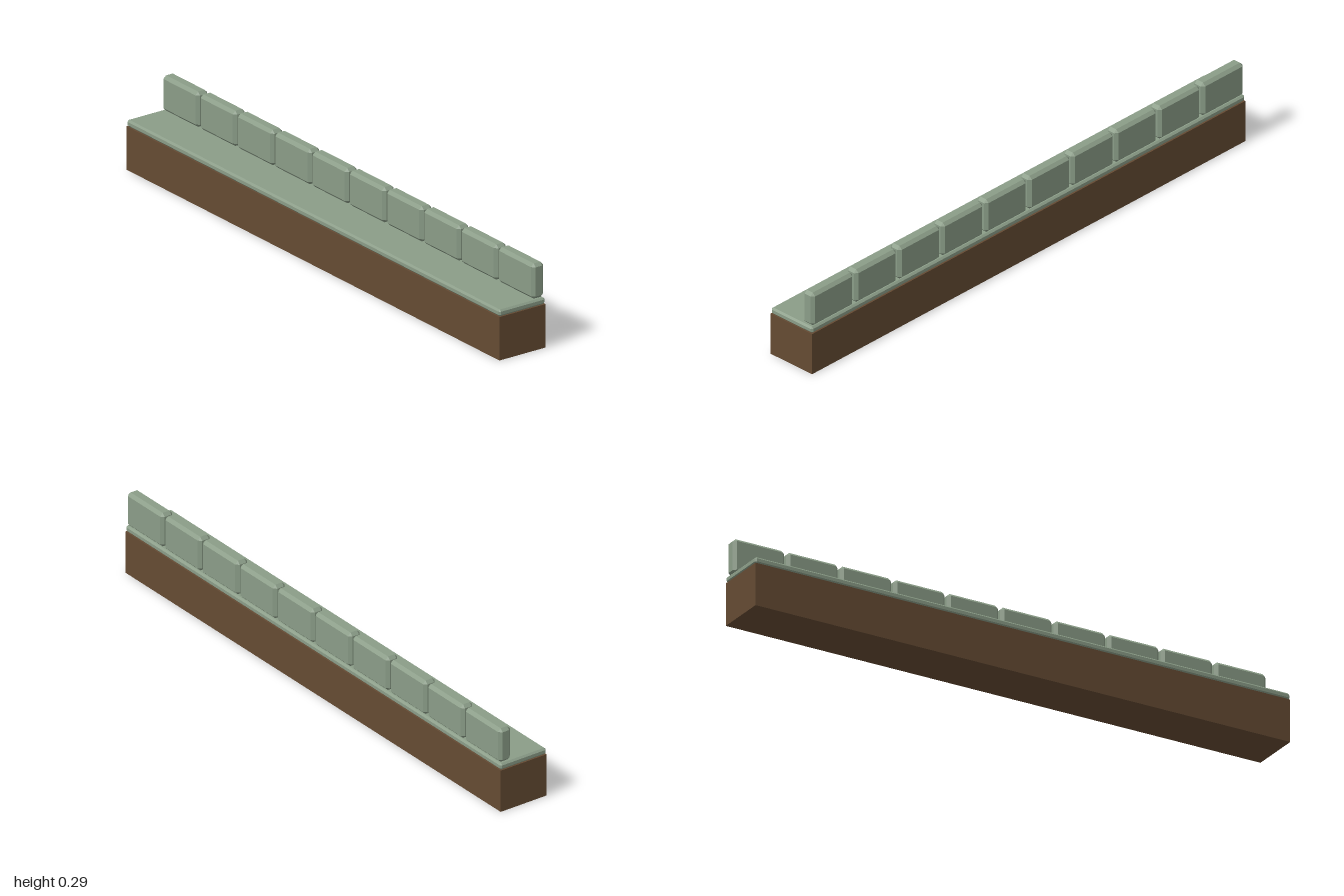
import * as THREE from 'three';
import { ConvexGeometry } from 'three/addons/geometries/ConvexGeometry.js';

// Box with every edge cut at 45 degrees, centred on the origin
function chamferedBox(w, h, d, c) {
  const half = [w / 2, h / 2, d / 2];
  const points = [];
  for (const sx of [-1, 1]) for (const sy of [-1, 1]) for (const sz of [-1, 1]) {
    for (let face = 0; face < 3; face++) {
      const p = half.map((v, axis) => (axis === face ? v : v - c));
      points.push(new THREE.Vector3(sx * p[0], sy * p[1], sz * p[2]));
    }
  }
  return new ConvexGeometry(points);
}

export function createModel() {
  const wood = new THREE.MeshStandardMaterial({ color: 0x654b33 });
  wood.name = 'brown wood';
  const fabric = new THREE.MeshStandardMaterial({ color: 0x8b9d88 });
  fabric.name = 'sage fabric';

  const bench = new THREE.Group();
  bench.name = 'bench';
  const add = (name, geometry, material, x, y, z, parent = bench) => {
    const mesh = new THREE.Mesh(geometry, material);
    mesh.name = name;
    mesh.position.set(x, y, z);
    parent.add(mesh);
  };

  // Solid base and long seat pad
  add('base', new THREE.BoxGeometry(2, 0.15, 0.184), wood, 0, 0.075, 0);
  add('seatPad', chamferedBox(2, 0.023, 0.184, 0.006), fabric, 0, 0.1615, 0);

  // Row of back cushions along the rear edge
  const backrest = new THREE.Group();
  backrest.name = 'backrest';
  bench.add(backrest);
  const cushion = chamferedBox(0.192, 0.122, 0.047, 0.0105);
  for (let i = 0; i < 10; i++) {
    add(`backCushion${i + 1}`, cushion, fabric, (i - 4.5) * 0.2, 0.234, -0.0685, backrest);
  }
  return bench;
}
